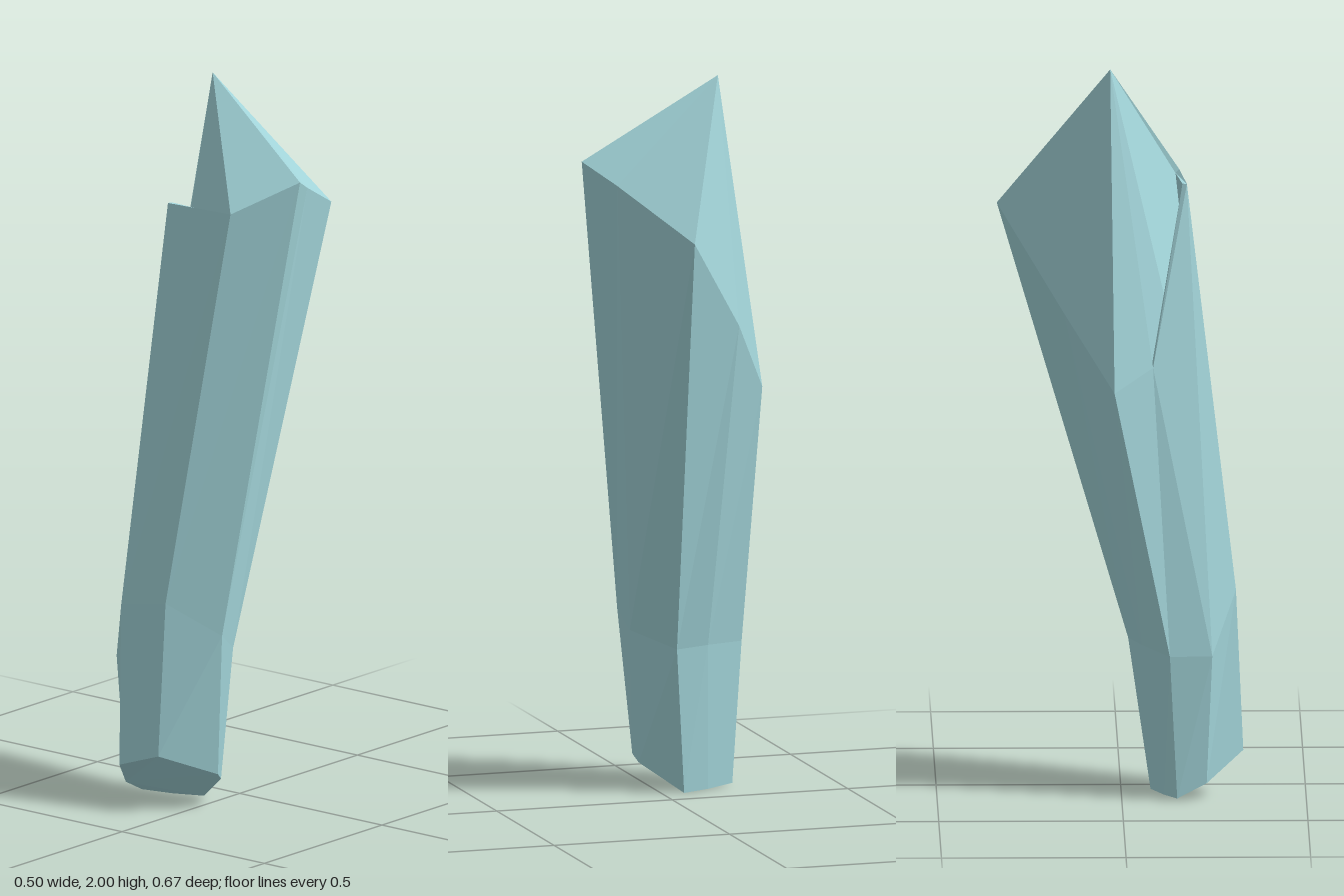
import * as THREE from 'three';

const v = (x, y, z) => new THREE.Vector3(x, y, z);

// Flat-shaded mesh from convex polygons, each fanned from its first corner
function facets(name, polygons, material) {
  const points = [];
  for (const p of polygons)
    for (let i = 1; i < p.length - 1; i++) points.push(p[0], p[i], p[i + 1]);
  const geometry = new THREE.BufferGeometry().setFromPoints(points);
  geometry.computeVertexNormals();
  const mesh = new THREE.Mesh(geometry, material);
  mesh.name = name;
  return mesh;
}

export function createModel() {
  const group = new THREE.Group();
  group.name = 'crystalShard';
  const material = new THREE.MeshStandardMaterial({ color: 0xa5d8dd, flatShading: true, side: THREE.DoubleSide });

  // Long edges of the shard, each as base, waist and top, counter-clockwise from above
  const edges = [
    [v(-0.15, 0.125, 0.33), v(-0.16, 0.57, 0.31), v(-0.105, 1.68, 0.178)],
    [v(-0.03, 0.165, 0.31), v(-0.025, 0.59, 0.285), v(0.1, 1.68, 0.16)],
    [v(0.06, 0.1, 0.165), v(0.095, 0.5, 0.19), v(0.245, 1.77, 0.04)],
    [v(0.05, 0.08, 0.14), v(0.08, 0.45, 0.125), v(0.18, 1.72, -0.07)],
    [v(-0.06, 0, 0.08), v(-0.02, 0.41, 0.02), v(0.045, 1.6, -0.335)],
    [v(-0.14, 0, 0.115), v(-0.12, 0.41, 0.055), v(-0.14, 1.33, -0.155)],
    [v(-0.22, 0.005, 0.15), v(-0.24, 0.4, 0.13), v(-0.25, 1.13, -0.02)],
    [v(-0.21, 0.045, 0.23), v(-0.23, 0.4, 0.245), v(-0.195, 1.19, 0.085)],
  ];

  // Long side facets
  const sides = [];
  edges.forEach((e, i) => {
    const n = edges[(i + 1) % edges.length];
    for (let k = 0; k < 2; k++) sides.push([e[k], n[k], n[k + 1]], [e[k], n[k + 1], e[k + 1]]);
  });
  group.add(facets('sideFacets', sides, material));

  // Slanted base
  group.add(facets('base', [edges.map((e) => e[0]).reverse()], material));

  // Pointed tip
  const [A, B, R, P, K, Q, L, C] = edges.map((e) => e[2]);
  const apex = v(-0.12, 2, -0.03);
  const Ai = A.clone().add(v(0.004, 0, -0.012));
  const Bi = B.clone().add(v(-0.006, -0.01, -0.01));
  const Ci = C.clone().add(v(0.01, 0, -0.004));
  const pit = v(-0.138, 0.85, 0.24);
  group.add(facets('tip', [
    [apex, Bi, B, R, P],
    [apex, P, K, Q],
    [apex, Q, L, C, Ci],
    [apex, Ci, pit],
    [apex, pit, Bi],
  ], material));

  // Thin front wall standing proud of the tip
  group.add(facets('frontLip', [
    [C, A, Ai, Ci],
    [A, B, Bi, Ai],
    [Ci, Ai, pit],
    [Ai, Bi, pit],
  ], material));

  return group;
}
